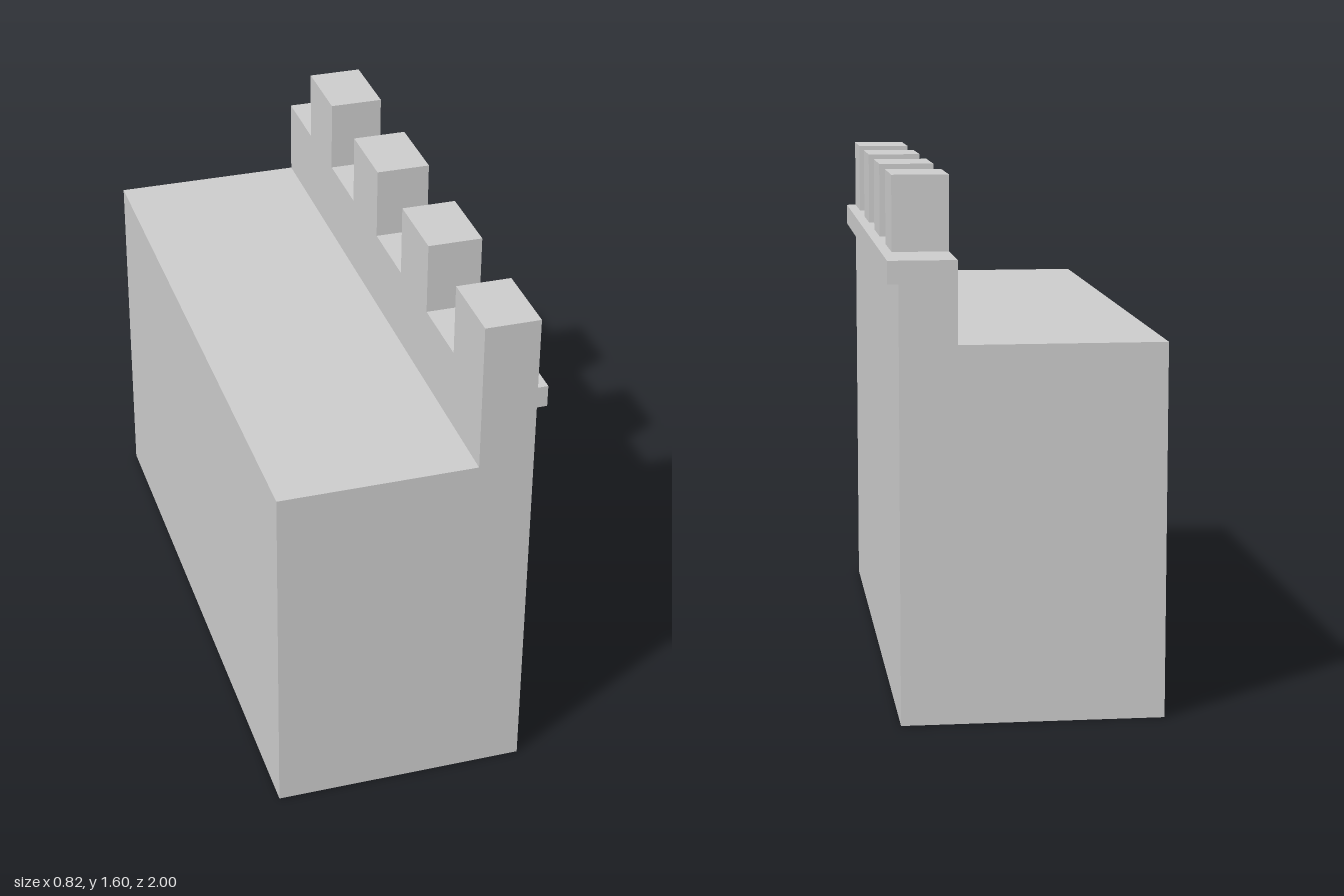
import * as THREE from 'three';

export function createModel() {
  const group = new THREE.Group();
  const material = new THREE.MeshStandardMaterial({ color: 0xcccccc, flatShading: true });

  const length = 2;
  const back = -0.41, inner = 0.207, outer = 0.378, lip = 0.41;
  const walkY = 1.13, lipY = 1.308, parapetY = 1.376, topY = 1.604;

  // Wall: walkway, parapet and outer string course as one cross-section
  const profile = new THREE.Shape([
    [back, 0], [outer, 0], [outer, lipY], [lip, lipY], [lip, parapetY],
    [inner, parapetY], [inner, walkY], [back, walkY],
  ].map(([x, y]) => new THREE.Vector2(x, y)));
  const wallGeometry = new THREE.ExtrudeGeometry(profile, { depth: length, bevelEnabled: false });
  wallGeometry.translate(0, 0, -length / 2);
  const wall = new THREE.Mesh(wallGeometry, material);
  wall.name = 'wall';
  group.add(wall);

  // Merlons: evenly spaced, starting flush with the front end
  const count = 4, merlonLength = 0.25;
  const merlonGeometry = new THREE.BoxGeometry(outer - inner, topY - parapetY, merlonLength);
  for (let i = 0; i < count; i++) {
    const merlon = new THREE.Mesh(merlonGeometry, material);
    merlon.name = `merlon${i + 1}`;
    merlon.position.set(
      (inner + outer) / 2,
      (parapetY + topY) / 2,
      length / 2 - merlonLength / 2 - i * (length / count),
    );
    group.add(merlon);
  }

  return group;
}
